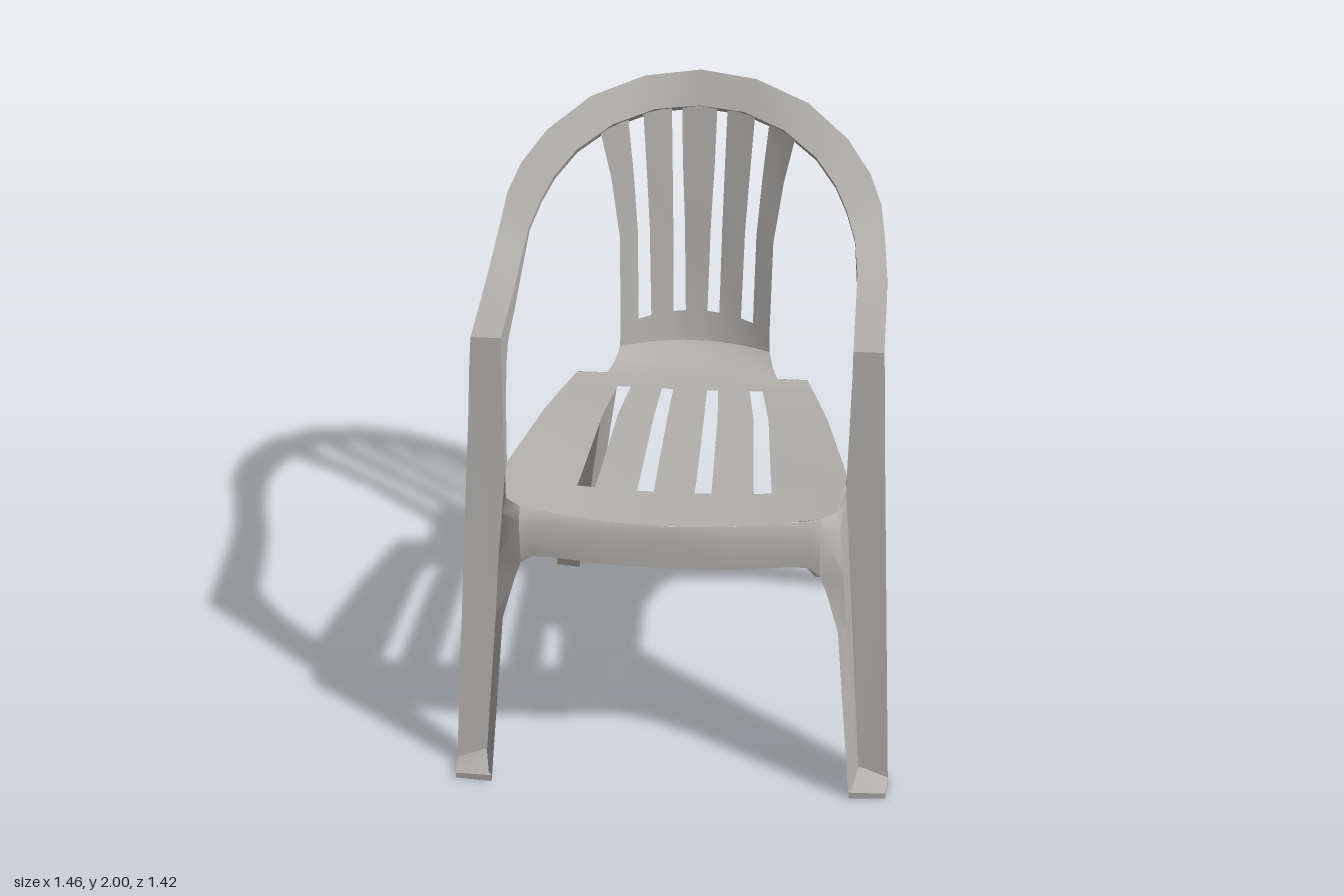
import * as THREE from 'three';
import { toCreasedNormals } from 'three/addons/utils/BufferGeometryUtils.js';

const plastic = new THREE.MeshStandardMaterial({ color: 0xb3b1ae, side: THREE.DoubleSide });
plastic.name = 'grey plastic';

// Sheet through rows of cross-section points, optionally mirrored over x = 0
function sheet(name, rows, { mirror = true, skip = () => false, crease = 0.6 } = {}) {
  const pos = [];
  const tri = (a, b, c) => {
    pos.push(...a, ...b, ...c);
    if (mirror) for (const p of [a, c, b]) pos.push(-p[0], p[1], p[2]);
  };
  for (let r = 0; r < rows.length - 1; r++) {
    for (let c = 0; c < rows[r].length - 1; c++) {
      if (skip(r, c)) continue;
      const [a, b, d, e] = [rows[r][c], rows[r][c + 1], rows[r + 1][c], rows[r + 1][c + 1]];
      tri(a, d, b);
      tri(b, d, e);
    }
  }
  const g = new THREE.BufferGeometry();
  g.setAttribute('position', new THREE.Float32BufferAttribute(pos, 3));
  const mesh = new THREE.Mesh(toCreasedNormals(g, crease), plastic);
  mesh.name = name;
  return mesh;
}

// Slotted shell: each row has y and z at centre and edge, then the half-widths of the slats
function seatAndBack() {
  const seat = [
    [1.035, 1.065, 0.675, 0.64, 0.07, 0.13, 0.26, 0.33, 0.48],
    [1.035, 1.07, 0.6, 0.6, 0.068, 0.125, 0.26, 0.32, 0.53],
    [1.035, 1.07, 0.475, 0.475, 0.066, 0.12, 0.257, 0.315, 0.548],
    [1.033, 1.07, 0.39, 0.39, 0.066, 0.118, 0.252, 0.308, 0.555],
    [1.025, 1.045, 0, 0, 0.062, 0.108, 0.23, 0.28, 0.478],
    [1.02, 1.03, -0.2, -0.2, 0.058, 0.097, 0.205, 0.25, 0.425],
    [1.018, 1.02, -0.295, -0.295, 0.055, 0.095, 0.2, 0.245, 0.4],
  ];
  const back = [
    [1.018, 1.02, -0.297, -0.297, 0.055, 0.095, 0.2, 0.245, 0.295],
    [1.025, 1.03, -0.42, -0.36, 0.05, 0.09, 0.175, 0.22, 0.275],
    [1.06, 1.06, -0.475, -0.41, 0.042, 0.085, 0.16, 0.205, 0.262],
    [1.165, 1.135, -0.502, -0.425, 0.038, 0.08, 0.157, 0.2, 0.26],
    [1.48, 1.45, -0.555, -0.485, 0.045, 0.085, 0.165, 0.205, 0.265],
    [1.7, 1.66, -0.595, -0.52, 0.055, 0.09, 0.178, 0.222, 0.295],
    [1.89, 1.828, -0.635, -0.525, 0.06, 0.095, 0.19, 0.24, 0.33],
  ];
  const rows = [...seat, ...back].map(([yc, ye, zc, ze, ...xs]) => {
    const edge = xs[4];
    return [...xs.map((x) => -x).reverse(), ...xs].map((x) => {
      const t = (x / edge) ** 2;
      return [x, yc + (ye - yc) * t, zc + (ze - zc) * t];
    });
  });
  // Odd columns are the openings between slats
  const skip = (r, c) => c % 2 === 1 && ((r >= 2 && r < 5) || r >= 10);
  return sheet('seatAndBackSlats', rows, { mirror: false, skip, crease: 0.7 });
}

// Channel running from front foot over the armrest and round the back rim
function armsAndRim() {
  const leg = [ // outer skirt, outer edge, inner edge, inner skirt
    [[0.725, 0, 0.585], [0.73, 0, 0.62], [0.632, 0, 0.61], [0.632, 0, 0.6]],
    [[0.675, 1.03, 0.41], [0.68, 1.05, 0.455], [0.553, 1.07, 0.45], [0.555, 1.05, 0.39]],
    [[0.667, 1.23, 0.375], [0.67, 1.25, 0.42], [0.557, 1.25, 0.42], [0.558, 1.245, 0.34]],
    [[0.66, 1.43, 0.31], [0.662, 1.45, 0.393], [0.56, 1.45, 0.393], [0.56, 1.37, 0.286]],
    [[0.658, 1.475, 0.24], [0.657, 1.53, 0.38], [0.56, 1.53, 0.38], [0.56, 1.43, 0.235]],
    [[0.66, 1.488, 0], [0.66, 1.53, 0], [0.56, 1.53, 0], [0.56, 1.465, 0]],
    [[0.66, 1.51, -0.13], [0.657, 1.55, -0.12], [0.56, 1.545, -0.11], [0.56, 1.49, -0.12]],
  ];
  const rim = [ // outer edge, inner edge
    [[0.645, 1.61, -0.27], [0.547, 1.6, -0.245]],
    [[0.63, 1.68, -0.35], [0.515, 1.665, -0.325]],
    [[0.59, 1.755, -0.425], [0.475, 1.725, -0.39]],
    [[0.51, 1.84, -0.51], [0.405, 1.79, -0.465]],
    [[0.37, 1.925, -0.605], [0.29, 1.85, -0.545]],
    [[0.19, 1.98, -0.665], [0.15, 1.882, -0.61]],
    [[0, 2, -0.685], [0, 1.89, -0.632]],
  ].map(([o, i]) => [
    [o[0], o[1] - 0.027, o[2] - 0.026], o, i, [i[0], i[1] - 0.02, i[2] - 0.02],
  ]);
  return sheet('armsAndBackRim', [...leg, ...rim]);
}

// Front apron, rolling over from the seat edge
function frontApron() {
  const bottoms = [[0.48, 0.87], [0.44, 0.9], [0.39, 0.905], [0.2, 0.896], [0, 0.895]];
  const rows = bottoms.map(([x, yb]) => {
    const t = (x / 0.48) ** 2;
    const y = 1.035 + 0.03 * t, z = 0.675 - 0.035 * t;
    return [[x, y, z], [x, y - 0.03, z + 0.015 + 0.02 * t], [x, yb, 0.705 - 0.035 * t]];
  });
  return sheet('frontApron', rows, { crease: 0.9 });
}

// Front-leg flange: valley beside the leg, bend, free edge
const frontFlange = () => sheet('frontLegFlanges', [
  [[0.553, 1.07, 0.45], [0.53, 1.07, 0.6], [0.48, 1.065, 0.64]],
  [[0.556, 1.03, 0.456], [0.54, 1.03, 0.63], [0.48, 1.03, 0.675]],
  [[0.568, 0.87, 0.48], [0.555, 0.87, 0.64], [0.48, 0.87, 0.67]],
  [[0.573, 0.8, 0.49], [0.56, 0.8, 0.645], [0.503, 0.8, 0.662]],
  [[0.584, 0.65, 0.513], [0.57, 0.65, 0.655], [0.545, 0.65, 0.67]],
  [[0.632, 0, 0.61], [0.612, 0, 0.7], [0.6, 0, 0.71]],
], { crease: 0.9 });

// Side apron flowing down into the outer face of the rear leg
const sideApron = () => sheet('sideAprons', [
  [[0.555, 1.07, 0.41], [0.56, 1.0, 0.39]],
  [[0.55, 1.066, 0.36], [0.555, 0.99, 0.34]],
  [[0.478, 1.045, 0], [0.5, 0.92, 0.016]],
  [[0.425, 1.03, -0.2], [0.475, 0.81, -0.17]],
  [[0.4, 1.02, -0.295], [0.48, 0.745, -0.23]],
  [[0.47, 0.465, -0.45], [0.507, 0.465, -0.366]],
  [[0.53, 0, -0.59], [0.54, 0, -0.525]],
]);

// Rear leg: face under the seat corner, then a flange running back
const rearLeg = () => [
  sheet('rearLegFaces', [
    [[0.4, 1.02, -0.296], [0.295, 1.02, -0.296]],
    [[0.53, 0, -0.59], [0.445, 0, -0.578]],
  ]),
  sheet('rearLegFlanges', [
    [[0.295, 1.02, -0.296], [0.275, 1.03, -0.36], [0.262, 1.06, -0.41], [0.258, 1.02, -0.47]],
    [[0.445, 0, -0.578], [0.433, 0, -0.595], [0.421, 0, -0.613], [0.41, 0, -0.63]],
  ]),
  sheet('backSideReturns', [
    [[0.262, 1.06, -0.41], [0.258, 1.02, -0.47]],
    [[0.26, 1.135, -0.425], [0.257, 1.13, -0.465]],
    [[0.262, 1.3, -0.455], [0.261, 1.3, -0.46]],
  ]),
];

// Foot: plate closing the valley of the leg, with a low lip; corners start at the valley
function foot(name, [valley, outer, tip, inner]) {
  const at = ([x, z], y) => [x, y, z];
  return sheet(name, [
    [at(valley, 0.055), at(valley, 0.055), at(valley, 0.055)],
    [at(outer, 0.025), at(tip, 0.02), at(inner, 0.025)],
    [at(outer, 0), at(tip, 0), at(inner, 0)],
  ], { crease: 0.3 });
}

export function createModel() {
  const chair = new THREE.Group();
  chair.name = 'gardenChair';
  chair.add(
    seatAndBack(), armsAndRim(), frontApron(), frontFlange(), sideApron(), ...rearLeg(),
    foot('frontFeet', [[0.63, 0.605], [0.73, 0.62], [0.722, 0.7], [0.6, 0.71]]),
    foot('rearFeet', [[0.442, -0.575], [0.53, -0.59], [0.51, -0.628], [0.41, -0.63]]),
  );
  return chair;
}
